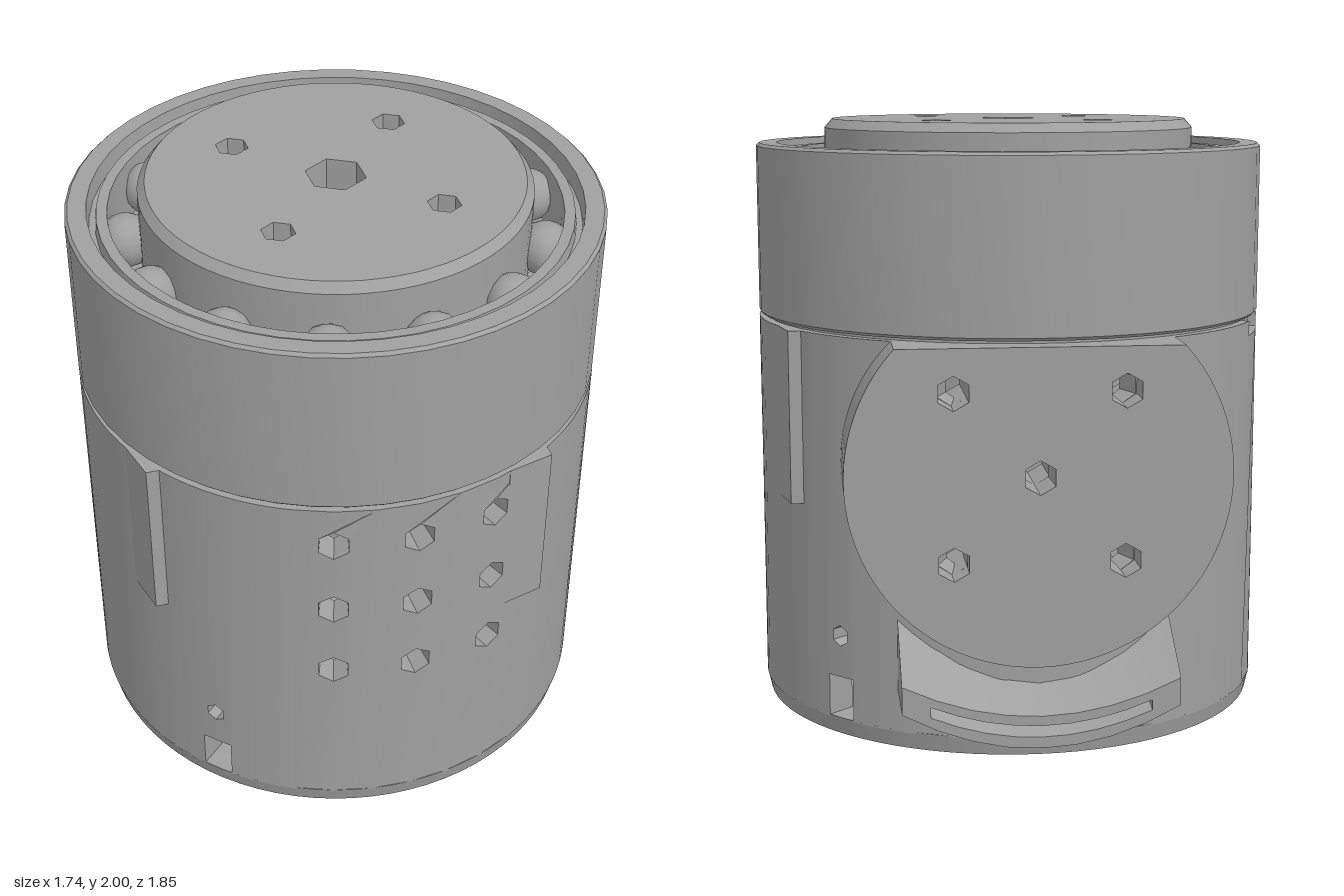
import * as THREE from 'three';
import { mergeGeometries, toCreasedNormals } from 'three/addons/utils/BufferGeometryUtils.js';

const R = 0.87, WALL = 0.1, RAD = Math.PI / 180;
const ROWS = [0.65, 0.92, 1.19];

export function createModel() {
  const grey = new THREE.MeshStandardMaterial({ color: 0xa0a0a0 });
  grey.name = 'housing grey';
  const model = new THREE.Group();
  model.name = 'jointHousing';
  const body = new THREE.Group();
  body.name = 'body';
  body.position.z = 0.05;
  model.add(body);

  const add = (name, geo, crease = 30) => {
    const mesh = new THREE.Mesh(toCreasedNormals(geo, crease * RAD), grey);
    mesh.name = name;
    body.add(mesh);
    return mesh;
  };
  // Moves every vertex by a rule
  const warp = (geo, rule) => {
    const p = geo.attributes.position, v = new THREE.Vector3();
    for (let i = 0; i < p.count; i++) {
      rule(v.fromBufferAttribute(p, i));
      p.setXYZ(i, v.x, v.y, v.z);
    }
    return geo;
  };
  const extrude = (shape, depth, curveSegments = 24, steps = 1) =>
    new THREE.ExtrudeGeometry(shape, { depth, steps, curveSegments, bevelEnabled: false });
  // Horizontal plate from a plan drawing (x, z)
  const plate = (shape, y0, y1, seg) =>
    extrude(shape, y1 - y0, seg).rotateX(Math.PI / 2).translate(0, y1, 0);
  const ring = (x, y, rx, ry, n = 6) => new THREE.Path(Array.from({ length: n }, (_, i) => {
    const a = (i + 0.5) / n * Math.PI * 2;
    return new THREE.Vector2(x + rx * Math.cos(a), y + ry * Math.sin(a));
  }));
  const disc = r => new THREE.Shape().absarc(0, 0, r, 0, Math.PI * 2);

  // Curved wall panel between two angles, with holes at its middle
  const panel = (a0, a1, y0, y1, holes = [], hr = 0.055) => {
    a0 *= RAD; a1 *= RAD;
    const m = (a0 + a1) / 2;
    const s = new THREE.Shape([[a0, y0], [m, y0], [a1, y0], [a1, y1], [m, y1], [a0, y1]]
      .map(p => new THREE.Vector2(...p)));
    holes.forEach(y => s.holes.push(ring(m, y, hr / R, hr)));
    return warp(extrude(s, WALL), v => {
      const r = R - WALL + v.z;
      v.set(r * Math.sin(v.x), v.y, r * Math.cos(v.x));
    });
  };

  // Lower shell: featured columns, with plain columns filling the gaps
  const B = 0.055, T = 1.33, ends = [ROWS[0], ROWS[2]];
  const columns = [
    [-27, -9, B, T, ROWS], [-9, 9, B, T, ROWS], [9, 27, B, T, ROWS],
    [63, 80, B, 1.28],
    [131, 138, 0.2, T, [0.34], 0.035],
    [153, 171, B, T, ends], [171, 189, B, T, [ROWS[1]]], [189, 207, B, T, ends],
    [243, 260, B, 1.28],
    [311, 318, 0.2, T, [0.34], 0.035],
  ];
  const panels = [];
  columns.forEach((c, i) => {
    panels.push(panel(...c));
    const next = i + 1 < columns.length ? columns[i + 1][0] : 333;
    const n = Math.ceil((next - c[1]) / 8), w = (next - c[1]) / n;
    for (let k = 0; k < n; k++) panels.push(panel(c[1] + k * w, c[1] + (k + 1) * w, B, T));
  });
  add('lowerShell', mergeGeometries(panels));

  // Ramped tabs on the shell
  [28, 118, 298].forEach(deg => {
    const tab = new THREE.Shape([[-6.5, 0.868], [3.5, 0.905], [5, 0.868], [5, 0.82], [-6.5, 0.82]]
      .map(([d, r]) => new THREE.Vector2(r * Math.sin((deg + d) * RAD), r * Math.cos((deg + d) * RAD))));
    add('sideTab', plate(tab, 0.755, T));
  });

  // Bottom plate with three pairs of curved vents
  const base = disc(R);
  [87, 207, 327].forEach(deg => [0.36, 0.57].forEach(r => {
    const a = (deg - 38) * RAD, b = (deg + 38) * RAD, slot = new THREE.Path();
    slot.absarc(0, 0, r + 0.035, a, b, false);
    slot.absarc(0, 0, r - 0.035, b, a, true);
    slot.closePath();
    base.holes.push(slot);
  }));
  add('bottomPlate', warp(plate(base, 0, 0.06, 40), v => {
    if (v.y < 0.03 && Math.hypot(v.x, v.z) > 0.8) { v.x *= 0.985; v.z *= 0.985; }
  }));

  // Inner divider and core
  add('divider', new THREE.CylinderGeometry(0.84, 0.84, 0.08, 48).translate(0, 1.32, 0));
  add('innerCore', new THREE.CylinderGeometry(0.5, 0.5, 0.55, 32).translate(0, 1.04, 0));

  // Upper ring with stepped rim and ball groove
  const profile = [[0, 1.34], [0.86, 1.34], [R, 1.35], [R, 1.91], [0.86, 1.92], [0.8, 1.92],
    [0.795, 1.86], [0.775, 1.86], [0.77, 1.9], [0.735, 1.9], [0.73, 1.7], [0.6, 1.7], [0, 1.7]];
  add('upperRing', new THREE.LatheGeometry(profile.map(p => new THREE.Vector2(...p)), 48));

  // Bearing balls
  for (let i = 0; i < 13; i++) {
    const a = (5.7 + i * 360 / 13) * RAD;
    const ball = add('bearingBall', new THREE.SphereGeometry(0.09, 12, 8), 50);
    ball.position.set(0.68 * Math.sin(a), 1.79, -0.68 * Math.cos(a));
  }

  // Turning disc with centre bore, four screw holes and a bevelled edge
  const face = disc(0.635);
  face.holes.push(ring(0, 0, 0.1, 0.1));
  [-0.27, 0.27].forEach(x => [-0.27, 0.27].forEach(z => face.holes.push(ring(x, z, 0.055, 0.055))));
  add('turningDisc', plate(face, 1.69, 1.97, 36));
  add('turningDiscEdge', warp(plate(face, 1.97, 2, 36), v => {
    if (v.y > 1.98 && Math.hypot(v.x, v.z) > 0.6) { v.x *= 0.96; v.z *= 0.96; }
  }), 20);

  // Rear mounting flange, flat along its top
  const cut = Math.asin((T - 0.92) / 0.61);
  const flange = new THREE.Shape().absarc(0, 0.92, 0.61, Math.PI - cut, Math.PI * 2 + cut);
  flange.holes.push(ring(0, 0.92, 0.055, 0.055));
  [-0.27, 0.27].forEach(x => ends.forEach(y => flange.holes.push(ring(x, y, 0.055, 0.055))));
  add('rearFlange', extrude(flange, 0.35, 32).translate(0, 0, -0.92));

  // Crescent cable port under the flange, its top rising toward the shell
  const low = x => 0.065 + 0.125 * (x / 0.44) ** 2;
  const high = x => 0.17 + 0.11 * (x / 0.44) ** 2;
  const band = (w, t0, t1) => {
    const pts = [];
    const at = (x, t) => pts.push(new THREE.Vector2(x, low(x) + t * (high(x) - low(x))));
    for (let i = -4; i <= 4; i++) at(i / 4 * w, t0);
    for (let i = 4; i >= -4; i--) at(i / 4 * w, t1);
    return pts;
  };
  const port = new THREE.Shape(band(0.44, 0, 1));
  port.holes.push(new THREE.Path(band(0.35, 0.35, 0.7)));
  add('cablePort', warp(extrude(port, 0.33, 12, 3).translate(0, 0, -0.98), v => {
    const t = (v.y - low(v.x)) / (high(v.x) - low(v.x));
    v.y += t * 0.65 * (v.z + 0.98);
  }));

  return model;
}
